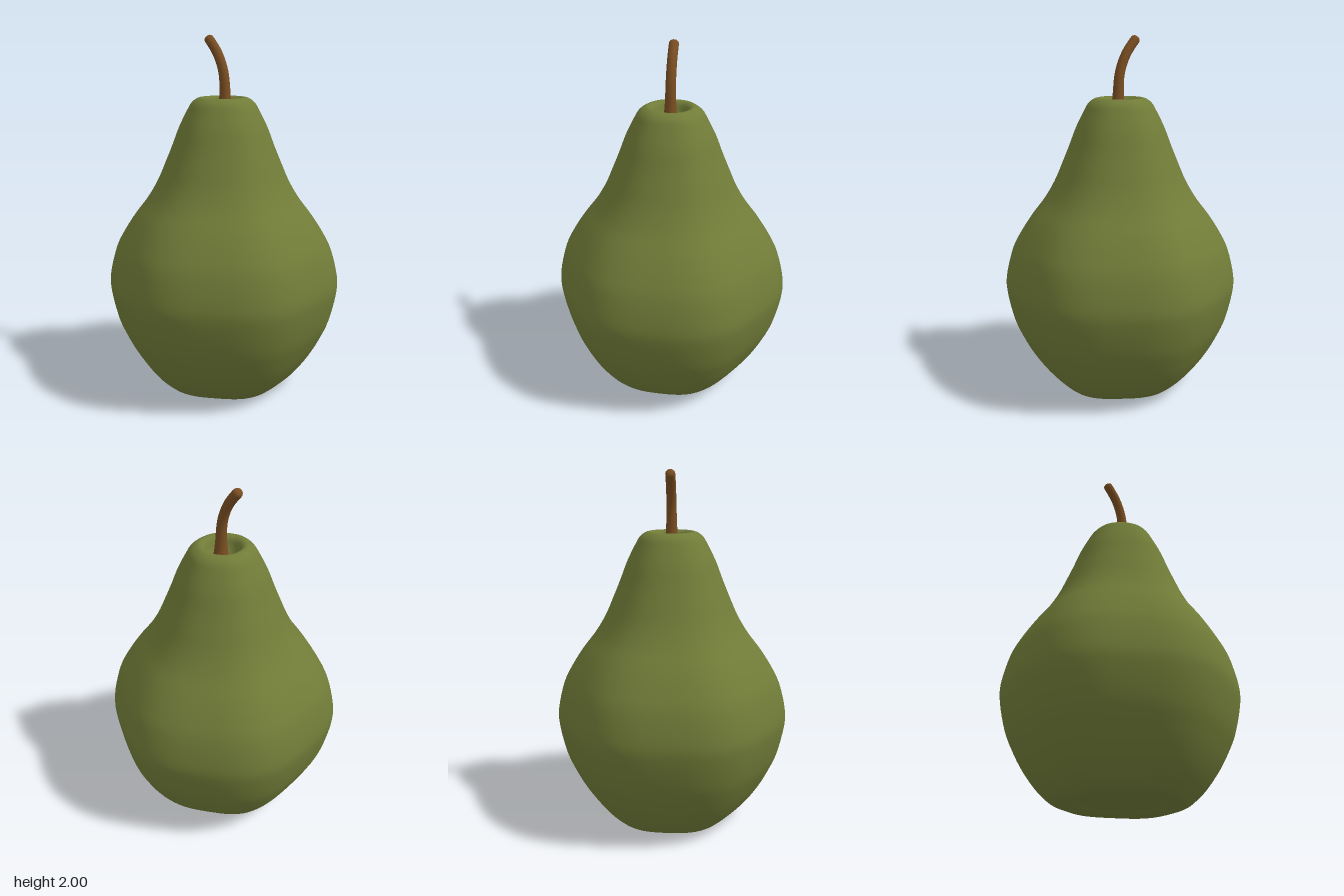
import * as THREE from 'three';
import { mergeVertices } from 'three/addons/utils/BufferGeometryUtils.js';

// Weld the seams and poles so that the shading is smooth all round
function smooth(geometry) {
  geometry.deleteAttribute('uv');
  geometry.deleteAttribute('normal');
  const welded = mergeVertices(geometry, 1e-5);
  welded.computeVertexNormals();
  return welded;
}

// Lathed body with a hollow top and base, swelling in six soft lobes
function makeBody() {
  const profile = [
    [0, 0.055], [0.1, 0.05], [0.2, 0.028], [0.26, 0.008], [0.31, 0.001], [0.35, 0.012],
    [0.39, 0.042], [0.445, 0.1], [0.515, 0.2], [0.568, 0.3], [0.609, 0.4], [0.642, 0.55],
    [0.644, 0.65], [0.608, 0.8], [0.56, 0.9], [0.498, 1.0], [0.425, 1.1], [0.368, 1.2],
    [0.325, 1.3], [0.284, 1.4], [0.246, 1.5], [0.202, 1.59], [0.172, 1.64], [0.13, 1.666],
    [0.1, 1.652], [0.08, 1.61], [0.05, 1.575], [0, 1.565],
  ].map(([r, y]) => new THREE.Vector2(r, y));
  const points = new THREE.SplineCurve(profile).getPoints(108);
  points.forEach((p) => { p.x = Math.max(p.x, 0); });
  points[0].x = points[points.length - 1].x = 0;

  const geometry = new THREE.LatheGeometry(points, 96);
  const pos = geometry.attributes.position;
  for (let i = 0; i < pos.count; i++) {
    const x = pos.getX(i), y = pos.getY(i), z = pos.getZ(i);
    const angle = Math.atan2(z, x);
    const amount = 0.023 - 0.013 * THREE.MathUtils.smoothstep(y, 0.8, 1.3);
    const swell = 1 - amount * Math.cos(6 * angle);
    // The underside rests slightly lower at its left and right
    const lift = 0.008 * Math.sin(angle) ** 2 * (1 - THREE.MathUtils.smoothstep(y, 0.02, 0.15));
    pos.setXYZ(i, x * swell, y + (Math.hypot(x, z) > 0.01 ? lift : 0), z * swell);
  }
  return smooth(geometry);
}

// Bent stem, flared at its foot and rounded at its tip
function makeStem() {
  const path = new THREE.CatmullRomCurve3([
    [0.012, 1.54], [0.013, 1.66], [0.002, 1.8], [-0.034, 1.895], [-0.08, 1.96], [-0.112, 1.995],
  ].map(([x, y]) => new THREE.Vector3(x, y, 0)));
  const rings = 60, sides = 20;
  const geometry = new THREE.TubeGeometry(path, rings, 1, sides);
  const pos = geometry.attributes.position;
  const v = new THREE.Vector3();
  for (let i = 0; i <= rings; i++) {
    const t = i / rings;
    const centre = path.getPointAt(t);
    const flare = 0.027 + 0.033 * Math.exp(-t * 7);
    const tip = Math.max(0, (t - 0.95) / 0.05);
    const radius = flare * Math.sqrt(Math.max(0, 1 - tip * tip));
    for (let j = 0; j <= sides; j++) {
      const k = i * (sides + 1) + j;
      v.fromBufferAttribute(pos, k).sub(centre).multiplyScalar(radius).add(centre);
      pos.setXYZ(k, v.x, v.y, v.z);
    }
  }
  return smooth(geometry);
}

export function createModel() {
  const skin = new THREE.MeshStandardMaterial({ color: 0x717c38 });
  skin.name = 'olive green skin';
  const bark = new THREE.MeshStandardMaterial({ color: 0x7a4e22 });
  bark.name = 'brown stem';

  const body = new THREE.Mesh(makeBody(), skin);
  body.name = 'body';
  const stem = new THREE.Mesh(makeStem(), bark);
  stem.name = 'stem';

  const model = new THREE.Group();
  model.name = 'pear';
  model.add(body, stem);
  return model;
}
